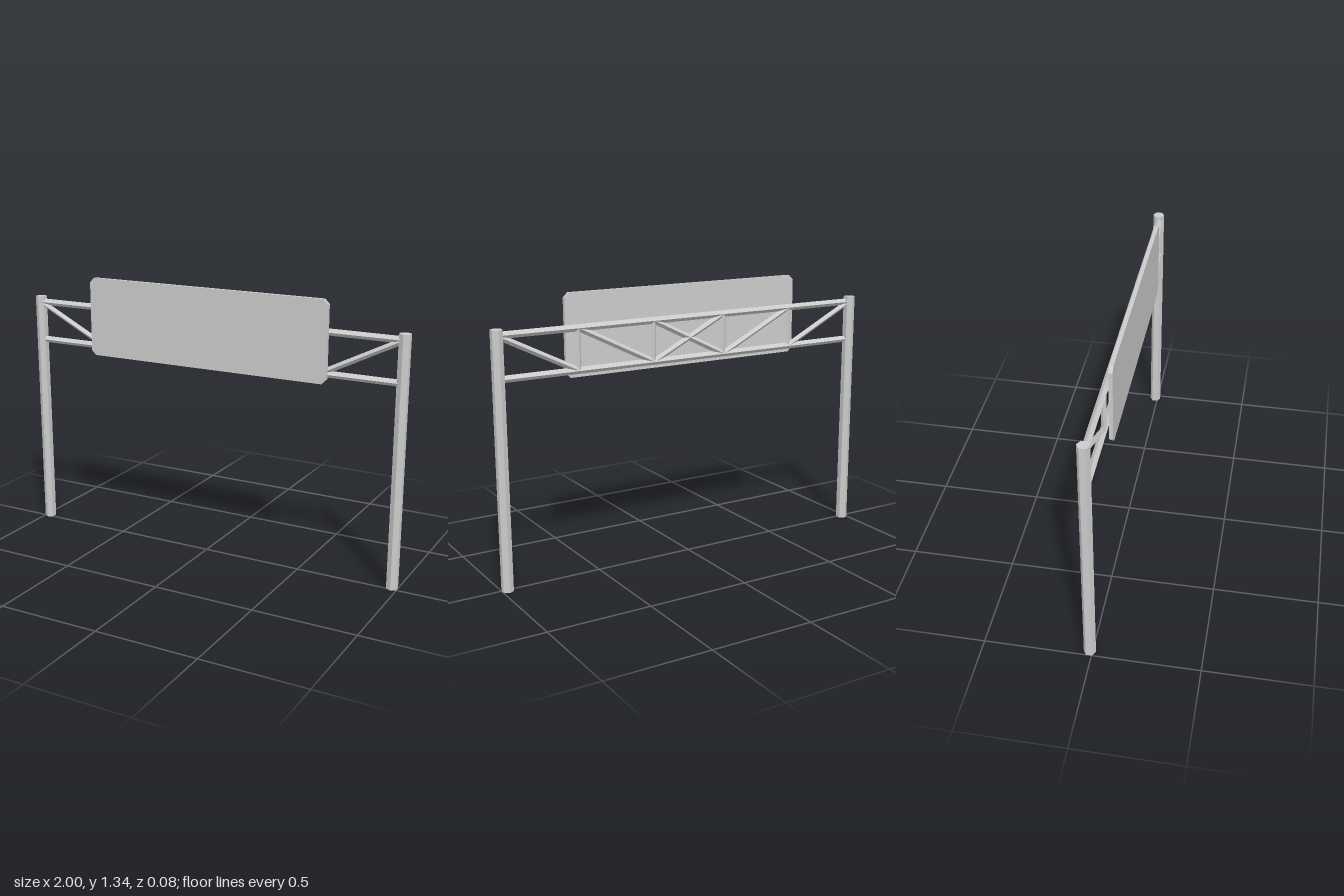
import * as THREE from 'three';

const material = new THREE.MeshStandardMaterial({ color: 0xcccccc, flatShading: true });
const POST_X = 0.975, POST_Z = -0.012, TRUSS_Z = -0.008;
const TOP_Y = 1.18, BOTTOM_Y = 0.985;

function addMesh(parent, geometry, name) {
  const mesh = new THREE.Mesh(geometry, material);
  mesh.name = name;
  parent.add(mesh);
  return mesh;
}

// Four-sided bar between two points in the truss plane, one ridge facing front
function addBar(parent, name, x1, y1, x2, y2, radius) {
  const a = new THREE.Vector3(x1, y1, TRUSS_Z);
  const b = new THREE.Vector3(x2, y2, TRUSS_Z);
  const bar = addMesh(parent, new THREE.CylinderGeometry(radius, radius, a.distanceTo(b), 4), name);
  bar.position.copy(a).add(b).multiplyScalar(0.5);
  bar.rotation.z = Math.atan2(y2 - y1, x2 - x1) - Math.PI / 2;
}

export function createModel() {
  const model = new THREE.Group();
  model.name = 'signGantry';

  // Hexagonal posts
  for (const side of [-1, 1]) {
    const post = addMesh(model, new THREE.CylinderGeometry(0.0285, 0.0285, 1.208, 6), side > 0 ? 'leftPost' : 'rightPost');
    post.position.set(side * POST_X, 0.604, POST_Z);
  }

  // Truss: two chords, four uprights, diagonals crossing in the middle panel
  const truss = new THREE.Group();
  truss.name = 'truss';
  model.add(truss);
  addBar(truss, 'topChord', -POST_X, TOP_Y, POST_X, TOP_Y, 0.0165);
  addBar(truss, 'bottomChord', -POST_X, BOTTOM_Y, POST_X, BOTTOM_Y, 0.0165);
  const panel = POST_X * 2 / 5;
  for (const side of [-1, 1]) {
    for (let i = 0; i < 3; i++) {
      const x = side * (POST_X - i * panel);
      const inner = side * (POST_X - (i + 1) * panel);
      addBar(truss, 'diagonal', x, TOP_Y, inner, BOTTOM_Y, 0.0145);
      if (i > 0) addBar(truss, 'upright', x, BOTTOM_Y, x, TOP_Y, 0.013);
    }
  }

  // Sign panel with clipped corners
  const w = 0.633, y0 = 0.947, y1 = 1.336, c = 0.023;
  const outline = new THREE.Shape([
    [-w + c, y0], [w - c, y0], [w, y0 + c], [w, y1 - c],
    [w - c, y1], [-w + c, y1], [-w, y1 - c], [-w, y0 + c],
  ].map(([x, y]) => new THREE.Vector2(x, y)));
  const sign = addMesh(model, new THREE.ExtrudeGeometry(outline, { depth: 0.018, bevelEnabled: false }), 'signPanel');
  sign.position.z = 0.023;

  return model;
}
